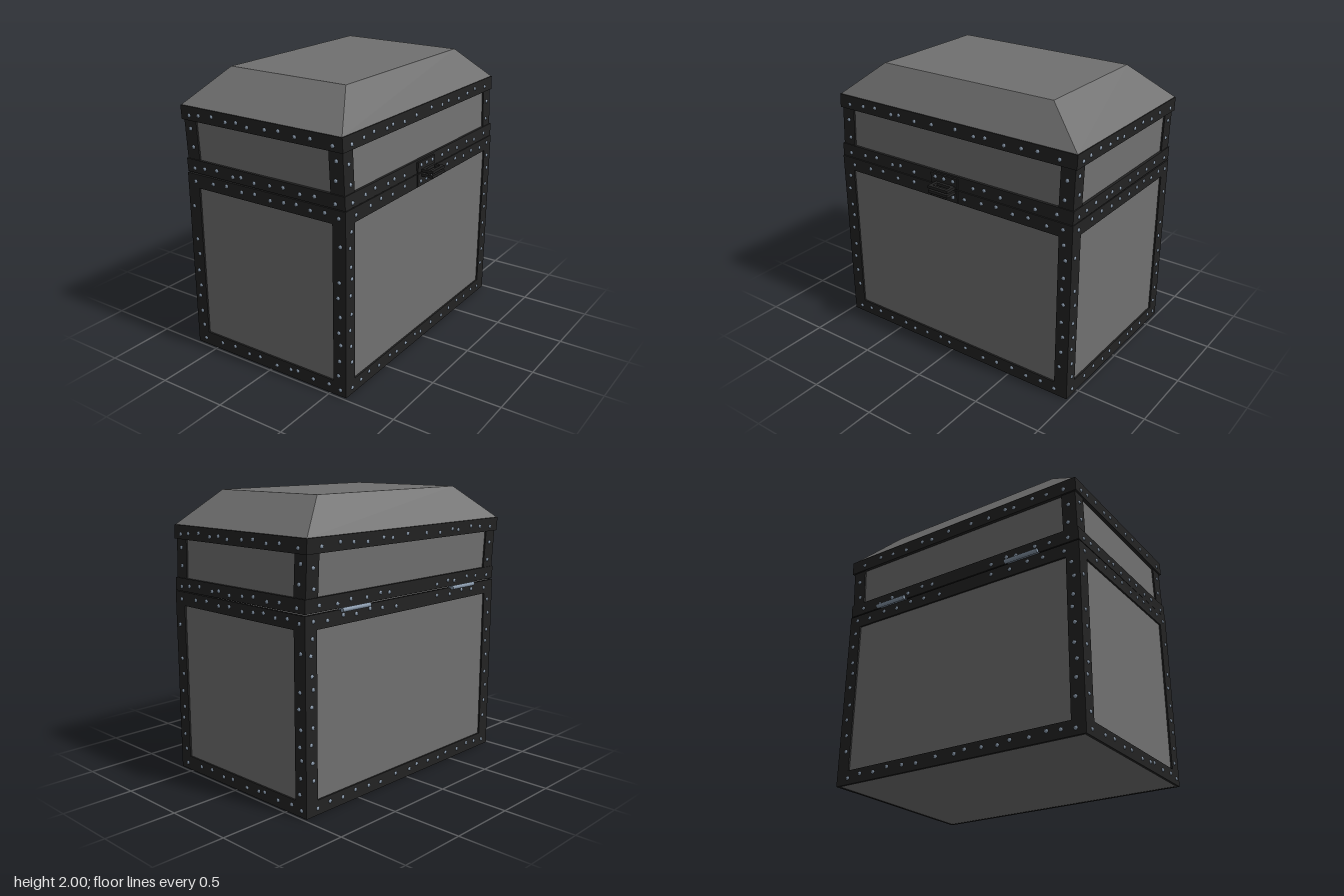
import * as THREE from 'three';
import { mergeGeometries } from 'three/addons/utils/BufferGeometryUtils.js';

const CX = -0.027; // chest centre in x; the latch and hinges stick out on either side
const panelMat = new THREE.MeshStandardMaterial({ color: 0x707070, flatShading: true });
const bandMat = new THREE.MeshStandardMaterial({ color: 0x222222, flatShading: true });
const metalMat = new THREE.MeshStandardMaterial({ color: 0x8494a6 });

function add(group, name, geometry, material) {
  const mesh = new THREE.Mesh(geometry, material);
  mesh.name = name;
  group.add(mesh);
}

function box(x0, x1, y0, y1, z0, z1) {
  return new THREE.BoxGeometry(x1 - x0, y1 - y0, z1 - z0)
    .translate((x0 + x1) / 2, (y0 + y1) / 2, (z0 + z1) / 2);
}

// Outline in plan, extruded upwards from y0 to y1
function prism(shape, y0, y1) {
  return new THREE.ExtrudeGeometry(shape, { depth: y1 - y0, bevelEnabled: false })
    .rotateX(-Math.PI / 2).translate(0, y0, 0);
}

function rectPoints(hx, hz) {
  return [[-hx, -hz], [hx, -hz], [hx, hz], [-hx, hz]].map(([x, y]) => new THREE.Vector2(x, y));
}

// Rectangular ring: a band around the chest, or a latch loop
function ring(hx, hz, t, y0, y1) {
  const shape = new THREE.Shape(rectPoints(hx, hz));
  shape.holes.push(new THREE.Path(rectPoints(hx - t, hz - t).reverse()));
  return prism(shape, y0, y1);
}

// Four L-shaped corner strips
function corners(hx, hz, w, t, y0, y1) {
  const parts = [];
  for (const sx of [-1, 1]) for (const sz of [-1, 1]) {
    const pts = [[hx, hz], [hx - w, hz], [hx - w, hz - t], [hx - t, hz - t], [hx - t, hz - w], [hx, hz - w]];
    parts.push(prism(new THREE.Shape(pts.map(([x, z]) => new THREE.Vector2(sx * x, sz * z))), y0, y1));
  }
  return mergeGeometries(parts).translate(CX, 0, 0);
}

// Domed rivet head pointing along the given axis
function rivet(x, y, z, axis, sign) {
  const g = new THREE.SphereGeometry(0.014, 8, 3, 0, Math.PI * 2, 0, Math.PI / 2).scale(1, 0.65, 1);
  if (axis === 'x') g.rotateZ(-sign * Math.PI / 2);
  else g.rotateX(sign * Math.PI / 2);
  return g.translate(x, y, z);
}

const wobble = (i) => ((i * 7) % 5 - 2) * 0.005; // hand-set look

// Rows of rivets on all four sides at one height
function rivetRow(out, y, hx, hz, frontX, sideZ) {
  for (const s of [-1, 1]) {
    frontX.forEach((x, i) => out.push(rivet(CX + s * (x - CX), y + wobble(i), s * hz, 'z', s)));
    sideZ.forEach((z, i) => out.push(rivet(CX + s * hx, y + wobble(i), z, 'x', s)));
  }
}

// Rivets up every corner strip
function rivetColumns(out, hx, hz, frontY, sideY) {
  for (const sx of [-1, 1]) for (const sz of [-1, 1]) {
    frontY.forEach((y, i) => out.push(rivet(CX + sx * (hx - 0.05 + wobble(i)), y, sz * hz, 'z', sz)));
    sideY.forEach((y, i) => out.push(rivet(CX + sx * hx, y, sz * (hz - 0.055 + wobble(i)), 'x', sx)));
  }
}

function createBase() {
  const base = new THREE.Group();
  base.name = 'base';
  const hx = 0.653, hz = 0.98;
  add(base, 'basePanels', box(CX - hx + 0.012, CX + hx - 0.012, 0.002, 1.3, -hz + 0.012, hz - 0.012), panelMat);
  add(base, 'baseBottomBand', ring(hx, hz, 0.02, 0, 0.1).translate(CX, 0, 0), bandMat);
  add(base, 'baseTopBand', ring(hx, hz, 0.02, 1.205, 1.302).translate(CX, 0, 0), bandMat);
  add(base, 'baseCornerStrips', corners(hx, hz, 0.1, 0.02, 0.1, 1.205), bandMat);
  const rivets = [];
  rivetRow(rivets, 0.055, hx, hz, [-0.61, -0.45, -0.33, -0.2, -0.1, 0.05, 0.17, 0.23, 0.36, 0.49, 0.58],
    [0.91, 0.81, 0.71, 0.59, 0.45, 0.36, 0.24, 0.11, 0.03, -0.12, -0.28, -0.4, -0.53, -0.65, -0.77, -0.88]);
  rivetRow(rivets, 1.26, hx, hz, [-0.61, -0.45, -0.33, -0.2, -0.09, 0.04, 0.15, 0.25, 0.36, 0.47, 0.575],
    [0.87, 0.71, 0.59, 0.45, 0.3, -0.14, -0.28, -0.4, -0.53, -0.65, -0.79, -0.91]);
  rivetColumns(rivets, hx, hz, [0.15, 0.26, 0.38, 0.465, 0.58, 0.71, 0.82, 1.065],
    [0.24, 0.36, 0.48, 0.59, 0.725, 0.835, 0.92, 1.05, 1.155]);
  add(base, 'baseRivets', mergeGeometries(rivets), metalMat);
  return base;
}

function createLid() {
  const lid = new THREE.Group();
  lid.name = 'lid';
  const hx = 0.65, hz = 0.978;
  add(lid, 'lidPanels', box(CX - hx + 0.018, CX + hx - 0.018, 1.308, 1.767, -hz + 0.02, hz - 0.02), panelMat);

  // Hipped roof: a box whose top corners are drawn inwards
  const roof = box(CX - hx, CX + hx, 1.768, 2, -0.978, 0.978);
  const p = roof.attributes.position;
  for (let i = 0; i < p.count; i++) {
    if (p.getY(i) < 1.9) continue;
    p.setX(i, Math.sign(p.getX(i) - CX) * 0.465);
    p.setZ(i, Math.sign(p.getZ(i)) * 0.695);
  }
  roof.computeVertexNormals();
  add(lid, 'roof', roof, panelMat);

  add(lid, 'lidBottomBand', ring(hx, hz, 0.025, 1.308, 1.4).translate(CX, 0, 0), bandMat);
  add(lid, 'lidTopBand', ring(hx + 0.005, hz + 0.005, 0.03, 1.67, 1.767).translate(CX, 0, 0), bandMat);
  add(lid, 'lidCornerStrips', corners(hx - 0.006, hz - 0.008, 0.105, 0.02, 1.4, 1.67), bandMat);
  const rivets = [];
  rivetRow(rivets, 1.35, hx, hz, [-0.61, -0.52, -0.41, -0.27, -0.2, -0.09, 0.04, 0.15, 0.28, 0.395, 0.55],
    [0.9, 0.76, 0.65, 0.5, 0.425, 0.3, -0.21, -0.3, -0.43, -0.58, -0.7, -0.86]);
  rivetRow(rivets, 1.715, hx + 0.005, hz + 0.005, [-0.61, -0.525, -0.41, -0.29, -0.2, -0.11, 0.035, 0.145, 0.27, 0.39, 0.555],
    [0.89, 0.76, 0.65, 0.5, 0.43, 0.29, 0.14, -0.06, -0.21, -0.3, -0.45, -0.58, -0.7, -0.86]);
  rivetColumns(rivets, hx - 0.006, hz - 0.008, [1.485, 1.61], [1.455, 1.585]);
  add(lid, 'lidRivets', mergeGeometries(rivets), metalMat);

  // The lid leans slightly towards its hinges
  const lean = new THREE.Matrix4().set(1, -0.05, 0, 0.05 * 1.308, -0.004, 1, 0, 0, 0, 0, 1, 0, 0, 0, 0, 1);
  lid.children.forEach((mesh) => mesh.geometry.applyMatrix4(lean));
  return lid;
}

function createLatch() {
  const latch = new THREE.Group();
  latch.name = 'latch';
  const x = CX + 0.653;
  for (const [name, y0, y1, loopY, rivetY] of [
    ['lower', 1.21, 1.3, 1.276, 1.245], ['upper', 1.31, 1.385, 1.308, 1.36]]) {
    add(latch, name + 'LatchPlate', box(x - 0.02, x + 0.007, y0, y1, -0.085, 0.14), bandMat);
    add(latch, name + 'LatchLoop', ring(0.045, 0.082, 0.023, loopY, loopY + 0.02).translate(0.675, 0, 0.013), bandMat);
    const rivets = [0.1, 0.027, -0.05].map((z) => rivet(x + 0.007, rivetY, z, 'x', 1));
    add(latch, name + 'LatchRivets', mergeGeometries(rivets), metalMat);
  }
  return latch;
}

function createHinges() {
  const hinges = new THREE.Group();
  hinges.name = 'hinges';
  for (const z of [-0.565, 0.56]) {
    add(hinges, 'hingePin', new THREE.CylinderGeometry(0.015, 0.015, 0.255, 12).rotateX(Math.PI / 2).translate(-0.71, 1.305, z), metalMat);
    add(hinges, 'hingeLeaf', box(-0.71, -0.67, 1.301, 1.309, z - 0.12, z + 0.12), metalMat);
  }
  return hinges;
}

export function createModel() {
  const chest = new THREE.Group();
  chest.name = 'chest';
  chest.add(createBase(), createLid(), createLatch(), createHinges());
  return chest;
}
